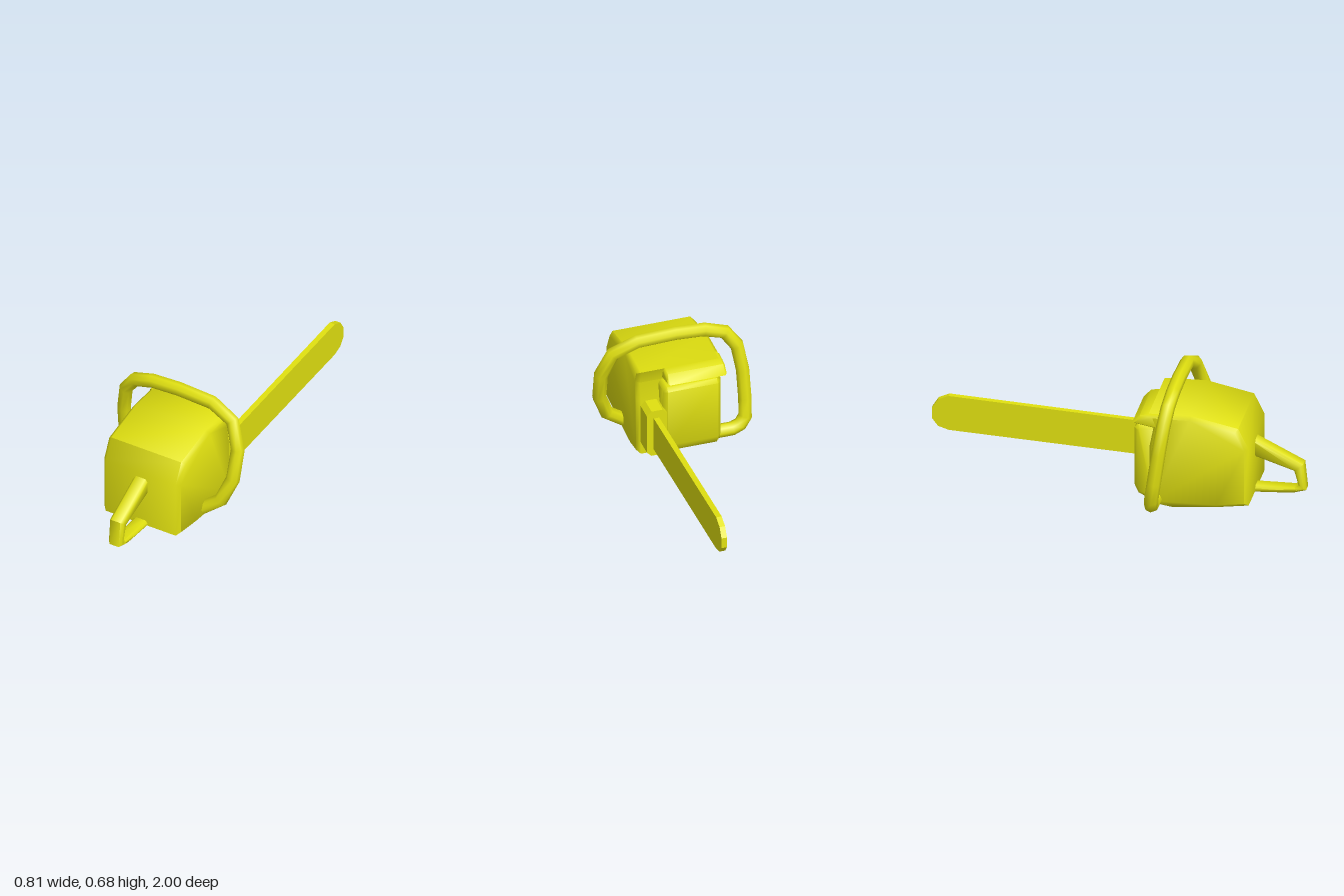
import * as THREE from 'three';
import { toCreasedNormals } from 'three/addons/utils/BufferGeometryUtils.js';

const yellow = new THREE.MeshStandardMaterial({ color: 0xe0e010 });
yellow.name = 'yellow';

function add(group, name, geometry) {
  const mesh = new THREE.Mesh(geometry, yellow);
  mesh.name = name;
  group.add(mesh);
  return mesh;
}

// Side profile of [z, y] points, extruded from x0 to x1 with bevelled edges
function sideExtrude(points, x0, x1, bevel, crease = 0.9) {
  const shape = new THREE.Shape(points.map(([z, y]) => new THREE.Vector2(-z, y)));
  const geometry = new THREE.ExtrudeGeometry(shape, {
    depth: x1 - x0 - 2 * bevel,
    bevelEnabled: bevel > 0,
    bevelSize: bevel,
    bevelThickness: bevel,
    bevelOffset: -bevel,
    bevelSegments: 1,
  });
  geometry.rotateY(Math.PI / 2);
  geometry.translate(x0 + bevel, 0, 0);
  return toCreasedNormals(geometry, crease);
}

export function createModel() {
  const saw = new THREE.Group();
  saw.name = 'chainsaw';

  // Engine housing
  add(saw, 'engineHousing', sideExtrude([
    [0.735, 0.05], [0.735, 0.373], [0.68, 0.485], [0.43, 0.536], [0.21, 0.528],
    [0.235, 0.45], [0.215, 0.345], [0.215, 0.02], [0.33, 0.003], [0.57, 0.025],
  ], -0.23, 0.23, 0.02));

  // Hood overhanging the muffler
  add(saw, 'hood', sideExtrude([
    [0.26, 0.45], [0.27, 0.53], [0.21, 0.528], [0.165, 0.52], [0.125, 0.475],
  ], -0.23, 0.09, 0.01));

  // Muffler block under the hood
  add(saw, 'muffler', sideExtrude([
    [0.25, 0.45], [0.15, 0.45], [0.13, 0.43], [0.13, 0.1], [0.15, 0.055],
    [0.22, 0.02], [0.25, 0.02],
  ], -0.2, 0.11, 0.02));

  // Guide bar mount with cut corners
  const c = 0.025, w = 0.055, h = 0.1375;
  const mountShape = new THREE.Shape([
    [-w, c - h], [c - w, -h], [w - c, -h], [w, c - h],
    [w, h - c], [w - c, h], [c - w, h], [-w, h - c],
  ].map(([x, y]) => new THREE.Vector2(x, y)));
  const mount = add(saw, 'barMount',
    new THREE.ExtrudeGeometry(mountShape, { depth: 0.13, bevelEnabled: false }));
  mount.position.set(0.157, 0.2075, 0.11);

  // Guide bar
  add(saw, 'guideBar', sideExtrude([
    [0.15, 0.106], [0.15, 0.298], [-0.912, 0.345], [-0.968, 0.32], [-1, 0.27],
    [-1, 0.21], [-0.968, 0.168], [-0.912, 0.15],
  ], 0.145, 0.175, 0, 0.4));

  // Rear grip, an open loop running into the housing
  add(saw, 'rearGrip', sideExtrude([
    [0.7, 0.357], [0.735, 0.343], [0.985, 0.22], [1, 0.075], [0.93, 0.053], [0.7, 0.038],
    [0.7, 0.078], [0.94, 0.083], [0.96, 0.1], [0.938, 0.18], [0.735, 0.245], [0.7, 0.258],
  ], -0.04, 0.04, 0.013));

  // Wraparound handle: leans back on the left, forward on the right
  const path = [
    [-0.2, 0.05], [-0.295, 0.05], [-0.34, 0.067], [-0.369, 0.11], [-0.372, 0.21],
    [-0.367, 0.375], [-0.342, 0.52], [-0.28, 0.606], [-0.17, 0.64], [-0.014, 0.649],
    [0.19, 0.64], [0.318, 0.58], [0.371, 0.44], [0.367, 0.276], [0.315, 0.145], [0.19, 0.05],
  ].map(([x, y]) => new THREE.Vector3(x, y, 0.33 + (0.649 - y) * (x > 0 ? 0.25 : -0.14)));
  const curve = new THREE.CatmullRomCurve3(path);
  curve.getPointAt = (t, v) => curve.getPoint(t, v); // rings fall on the path's corners
  curve.getTangentAt = (t, v) => curve.getTangent(t, v);
  add(saw, 'frontHandle', new THREE.TubeGeometry(curve, path.length - 1, 0.037, 8));
  for (const end of [path[0], path[path.length - 1]]) {
    add(saw, 'frontHandleEnd', new THREE.SphereGeometry(0.036, 8, 6)).position.copy(end);
  }
  return saw;
}
